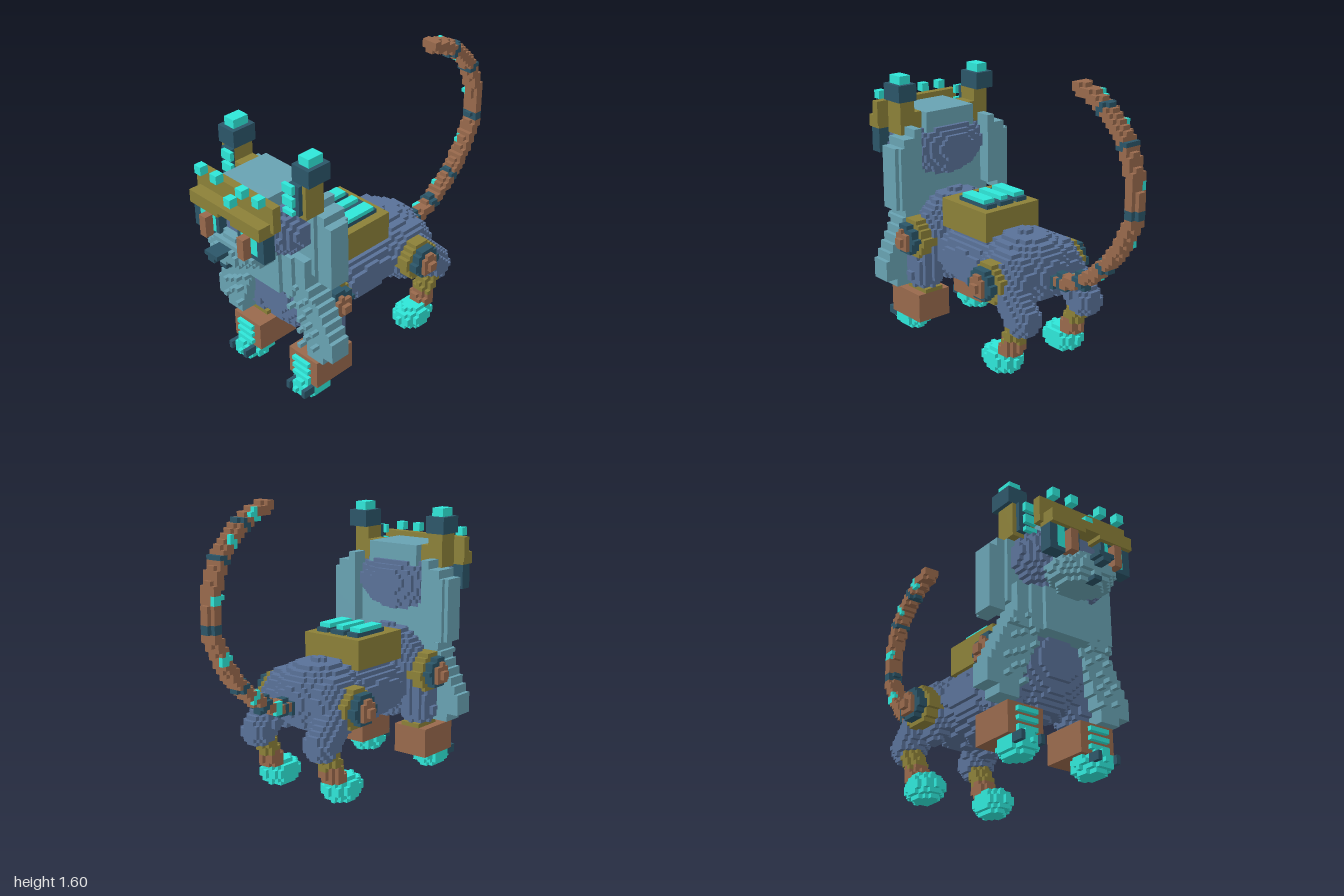
import * as THREE from 'three';

const U = 2 / 85; // edge of one small cube

export function createModel() {
  const palette = {
    slateBlue: 0x597198, greyTeal: 0x68a2b2, olive: 0x8b8038,
    brown: 0x98694c, cyan: 0x2ee6d8, navy: 0x2b5568,
  };
  const mats = {};
  for (const [name, color] of Object.entries(palette)) {
    mats[name] = new THREE.MeshStandardMaterial({ color });
    mats[name].name = name;
  }

  // Shared grid: later parts replace earlier ones where they overlap
  const cells = new Map();
  const key = (i, j, k) => (i + 60) * 40000 + (j + 10) * 200 + k + 80;
  const put = (name, mat, i, j, k) => cells.set(key(i, j, k), { name, mat, i, j, k });

  // Fill a range of cells where the test holds; "both" mirrors across x
  function fill(name, mat, lo, hi, test, both) {
    const e = (a, off) => Math.round(a / U + off);
    const i0 = e(lo[0], 0), j0 = e(lo[1], 0), k0 = e(lo[2], 0.5);
    const i1 = Math.max(i0 + 1, e(hi[0], 0)), j1 = Math.max(j0 + 1, e(hi[1], 0)), k1 = Math.max(k0 + 1, e(hi[2], 0.5));
    for (let i = i0; i < i1; i++) for (let j = j0; j < j1; j++) for (let k = k0; k < k1; k++) {
      if (test && !test((i + 0.5) * U, (j + 0.5) * U, k * U)) continue;
      put(both ? name + 'Left' : name, mat, i, j, k);
      if (both) put(name + 'Right', mat, -1 - i, j, k);
    }
  }
  const box = (name, mat, x0, x1, y0, y1, z0, z1, both) =>
    fill(name, mat, [x0, y0, z0], [x1, y1, z1], null, both);
  const ball = (name, mat, c, r, both) =>
    fill(name, mat, c.map((v, n) => v - r[n] - U), c.map((v, n) => v + r[n] + U), (x, y, z) =>
      ((x - c[0]) / r[0]) ** 2 + ((y - c[1]) / r[1]) ** 2 + ((z - c[2]) / r[2]) ** 2 < 1, both);
  function limb(name, mat, a, b, r, both) {
    const A = new THREE.Vector3(...a), line = new THREE.Line3(A, new THREE.Vector3(...b));
    const p = new THREE.Vector3(), q = new THREE.Vector3();
    fill(name, mat, a.map((v, n) => Math.min(v, b[n]) - r - U), a.map((v, n) => Math.max(v, b[n]) + r + U),
      (x, y, z) => line.closestPointToPoint(p.set(x, y, z), true, q).distanceTo(p) < r, both);
  }
  const disc = (name, mat, x0, x1, cy, cz, r) =>
    fill(name, mat, [x0, cy - r - U, cz - r - U], [x1, cy + r + U, cz + r + U],
      (x, y, z) => Math.hypot(y - cy, z - cz) < r, true);

  // Body
  ball('body', 'slateBlue', [0, 0.51, 0.1], [0.24, 0.19, 0.5]);
  ball('body', 'slateBlue', [0, 0.53, -0.17], [0.245, 0.19, 0.25]);
  ball('body', 'slateBlue', [0, 0.55, 0.44], [0.27, 0.265, 0.19]);

  // Front legs
  limb('frontLeg', 'slateBlue', [0.2, 0.5, 0.45], [0.22, 0.36, 0.45], 0.1, true);
  box('frontAnkle', 'olive', 0.165, 0.285, 0.24, 0.29, 0.37, 0.52, true);
  ball('frontPaw', 'cyan', [0.23, 0.065, 0.57], [0.085, 0.075, 0.115], true);
  for (const x of [0.165, 0.285]) box('frontClaw', 'navy', x, x + U, 0.045, 0.1, 0.62, 0.685, true);
  box('frontCuff', 'brown', 0.12, 0.33, 0.085, 0.26, 0.36, 0.615, true);
  for (const y of [0.115, 0.165, 0.215]) box('cuffStripe', 'cyan', 0.165, 0.285, y, y + U, 0.615, 0.635, true);

  // Hind legs
  ball('thigh', 'slateBlue', [0.17, 0.5, -0.22], [0.1, 0.17, 0.17], true);
  limb('thigh', 'slateBlue', [0.21, 0.46, -0.29], [0.22, 0.34, -0.4], 0.09, true);
  limb('hindShin', 'olive', [0.22, 0.28, -0.36], [0.22, 0.2, -0.32], 0.055, true);
  limb('hindAnkle', 'brown', [0.22, 0.17, -0.32], [0.22, 0.11, -0.28], 0.06, true);
  ball('hindPaw', 'cyan', [0.22, 0.07, -0.235], [0.09, 0.075, 0.12], true);

  // Round joints: plate, ring, hub and pin step outward from x
  for (const [name, x, y, z] of [['shoulder', 0.31, 0.57, 0.46], ['hip', 0.315, 0.5, -0.2]]) {
    disc(name + 'Plate', 'olive', 0.19, x, y, z, 0.11);
    disc(name + 'Ring', 'navy', 0.19, x + 0.045, y, z, 0.085);
    disc(name + 'Hub', 'brown', 0.19, x + 0.065, y, z, 0.055);
    disc(name + 'Pin', 'brown', 0.19, x + 0.08, y, z, 0.028);
  }

  // Back pack with three panels
  box('pack', 'olive', -0.19, 0.19, 0.65, 0.825, -0.07, 0.31);
  box('panelFrame', 'navy', -0.047, 0.047, 0.825, 0.847, -0.01, 0.22);
  box('panel', 'cyan', -0.024, 0.024, 0.847, 0.87, 0.01, 0.2);
  box('sidePanelFrame', 'navy', 0.07, 0.141, 0.825, 0.847, -0.01, 0.22, true);
  box('sidePanel', 'cyan', 0.07, 0.141, 0.847, 0.87, 0.01, 0.2, true);

  // Long hair: bib, flared drapes and side flaps
  fill('hairDrape', 'greyTeal', [0, 0.29, 0.47], [0.46, 0.99, 0.73], (x, y, z) => {
    const inner = y < 0.65 ? 0.14 + (0.65 - y) * 0.36 : 0;
    const outer = y > 0.76 ? 0.29 : Math.min(0.45, 0.28 + (0.76 - y) * 0.5);
    const bulge = 0.06 * Math.max(0, 1 - (x / 0.25) ** 2);
    const front = y > 0.9 ? 0.6 : y > 0.65 ? 0.64 + bulge : 0.635;
    const back = y < 0.45 ? 0.515 : 0.495;
    return x > inner && x < outer && z < front && z > back && (y > 0.33 || x < 0.38);
  }, true);
  fill('hairFlap', 'greyTeal', [0.24, 0.76, 0.42], [0.41, 1.2, 0.6], (x, y, z) => {
    const depth = 0.08 * Math.sqrt(Math.max(0, 1 - ((x - 0.28) / 0.16) ** 2));
    return x < (y > 1.16 ? 0.28 : y > 1.1 ? 0.35 : 0.4) && x > (y < 0.8 ? 0.3 : 0.24) && Math.abs(z - 0.51) < depth;
  }, true);
  // Loose tufts on the drapes
  for (let n = 0; n < 14; n++) {
    const y = 0.36 + n * 0.028, x = 0.3 + ((n * 5) % 7 - 3) * 0.024 - (y - 0.36) * 0.3;
    box('hairTuft', 'greyTeal', x, x + U, y, y + U, 0.635, 0.66, true);
  }

  // Head and muzzle
  ball('head', 'slateBlue', [0, 1.055, 0.62], [0.285, 0.185, 0.215]);
  box('hairCap', 'greyTeal', -0.165, 0.165, 1.15, 1.26, 0.49, 0.77);
  ball('muzzle', 'greyTeal', [0, 0.95, 0.79], [0.185, 0.09, 0.15]);
  box('nose', 'navy', -0.047, 0.047, 0.955, 0.98, 0.9, 1);
  box('nose', 'navy', -0.024, 0.024, 0.93, 0.955, 0.9, 1);
  box('mouth', 'navy', -0.035, 0.035, 0.88, 0.905, 0.85, 0.93);

  // Eyes
  box('eyeSocket', 'navy', 0.07, 0.26, 0.98, 1.14, 0.8, 0.885, true);
  box('eyeInner', 'cyan', 0.085, 0.118, 1.0, 1.12, 0.86, 0.885, true);
  box('eyeOuter', 'cyan', 0.165, 0.212, 1.0, 1.12, 0.86, 0.885, true);
  box('eyePupil', 'brown', 0.118, 0.165, 0.99, 1.11, 0.8, 0.935, true);

  // Brow band with studs
  box('browBand', 'olive', -0.28, 0.28, 1.15, 1.285, 0.79, 0.835);
  box('browRim', 'olive', -0.22, 0.22, 1.15, 1.19, 0.835, 0.895);
  box('browFlap', 'olive', 0.047, 0.26, 1.13, 1.19, 0.8, 0.895, true);
  box('browStud', 'cyan', 0.07, 0.118, 1.285, 1.335, 0.835, 0.88, true);
  box('browStudOuter', 'cyan', 0.19, 0.235, 1.285, 1.335, 0.835, 0.88, true);
  box('browGem', 'cyan', -0.024, 0.024, 1.195, 1.24, 0.835, 0.88);

  // Ears
  box('earBase', 'olive', 0.16, 0.22, 1.13, 1.27, 0.53, 0.65, true);
  box('ear', 'olive', 0.2, 0.31, 1.16, 1.36, 0.53, 0.65, true);
  box('earInside', 'navy', 0.22, 0.285, 1.18, 1.35, 0.64, 0.665, true);
  for (const y of [1.17, 1.23, 1.3]) box('earStripe', 'cyan', 0.19, 0.26, y, y + 0.04, 0.66, 0.685, true);
  box('earCollar', 'navy', 0.215, 0.33, 1.335, 1.43, 0.505, 0.645, true);
  box('earTip', 'cyan', 0.235, 0.31, 1.43, 1.475, 0.525, 0.625, true);

  // Tail with bands and small lights along one side
  const path = new THREE.CatmullRomCurve3([
    [0.5, -0.38], [0.52, -0.48], [0.56, -0.6], [0.68, -0.76], [0.83, -0.88], [0.98, -0.95],
    [1.12, -0.955], [1.28, -0.92], [1.4, -0.85], [1.51, -0.72], [1.57, -0.58],
  ].map(([y, z]) => new THREE.Vector3(0, y, z)));
  const N = 150;
  for (let n = 0; n <= N; n++) {
    const p = path.getPointAt(n / N);
    ball('tail', 'brown', [0, p.y, p.z], [0.05, 0.036, 0.036]);
  }
  function tailSlice(name, mat, t, x0, x1, half, r) {
    const p = path.getPointAt(t), d = path.getTangentAt(t);
    fill(name, mat, [x0, p.y - 0.06, p.z - 0.06], [x1, p.y + 0.06, p.z + 0.06], (x, y, z) =>
      Math.abs(d.y * (y - p.y) + d.z * (z - p.z)) < half && Math.hypot(x, y - p.y, z - p.z) < r);
  }
  for (const t of [0.03, 0.06, 0.155, 0.285, 0.53, 0.745, 0.885]) tailSlice('tailBand', 'navy', t, -0.06, 0.06, 0.018, 0.046);
  for (const t of [0.1, 0.22, 0.42, 0.62, 0.81, 0.93]) tailSlice('tailLight', 'cyan', t, -0.047, -0.024, 0.022, 0.05);

  // Turn exposed cube sides into one mesh per part
  const sides = [[1, 0, 0], [-1, 0, 0], [0, 1, 0], [0, -1, 0], [0, 0, 1], [0, 0, -1]];
  const parts = new Map();
  for (const { name, mat, i, j, k } of cells.values()) {
    if (j < 0) continue;
    if (!parts.has(name)) parts.set(name, { mat, pos: [], nor: [] });
    const part = parts.get(name), c = [(i + 0.5) * U, (j + 0.5) * U, k * U];
    for (const d of sides) {
      if (j + d[1] >= 0 && cells.has(key(i + d[0], j + d[1], k + d[2]))) continue;
      const a = d.findIndex((v) => v !== 0), b = (a + 1) % 3, e = (a + 2) % 3, s = d[a];
      for (const [p, q] of [[-1, -1], [1, -1], [1, 1], [-1, -1], [1, 1], [-1, 1]]) {
        const v = [...c];
        v[a] += s * U / 2;
        v[b] += s * p * U / 2;
        v[e] += q * U / 2;
        part.pos.push(...v);
        part.nor.push(...d);
      }
    }
  }
  const model = new THREE.Group();
  model.name = 'cat';
  for (const [name, { mat, pos, nor }] of parts) {
    if (!pos.length) continue;
    const geo = new THREE.BufferGeometry();
    geo.setAttribute('position', new THREE.Float32BufferAttribute(pos, 3));
    geo.setAttribute('normal', new THREE.Float32BufferAttribute(nor, 3));
    const mesh = new THREE.Mesh(geo, mats[mat]);
    mesh.name = name;
    model.add(mesh);
  }
  return model;
}
